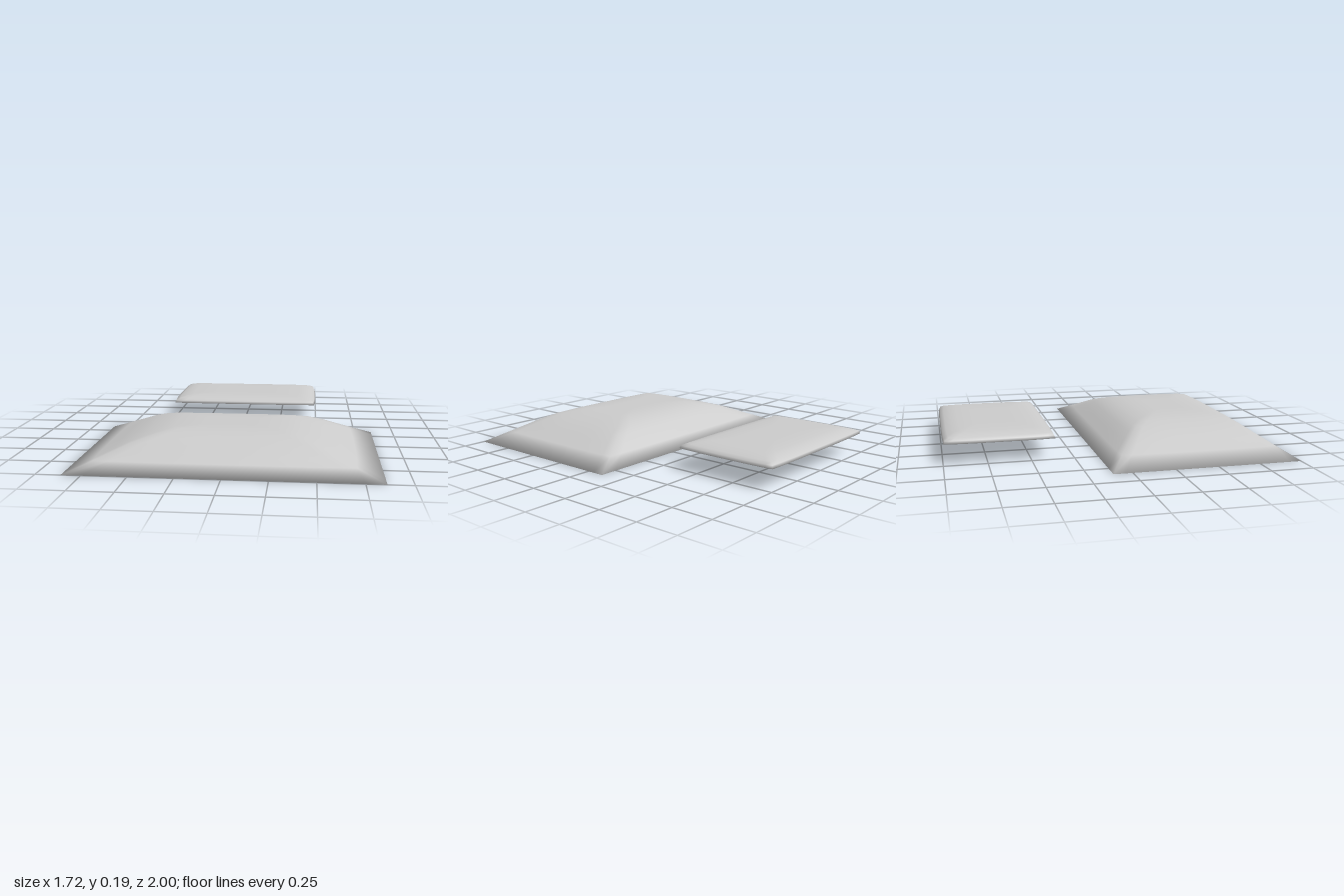
import * as THREE from 'three';

const SIDE = 16; // segments along each side of a loop

// Points around the unit square, running from +x towards +z
function squareLoop() {
  const corners = [[1, -1], [1, 1], [-1, 1], [-1, -1]];
  const pts = [];
  corners.forEach(([x, z], c) => {
    const [nx, nz] = corners[(c + 1) % 4];
    for (let i = 0; i < SIDE; i++) {
      const t = i / SIDE;
      pts.push([x + (nx - x) * t, z + (nz - z) * t]);
    }
  });
  return pts;
}

// Smooth normals that count every face equally, so the hem faces outwards
function softNormals(geo) {
  const pos = geo.attributes.position;
  const index = geo.index.array;
  const sums = Array.from({ length: pos.count }, () => new THREE.Vector3());
  const tri = new THREE.Triangle();
  const normal = new THREE.Vector3();
  for (let f = 0; f < index.length; f += 3) {
    tri.setFromAttributeAndIndices(pos, index[f], index[f + 1], index[f + 2]);
    tri.getNormal(normal);
    for (let c = 0; c < 3; c++) sums[index[f + c]].add(normal);
  }
  const normals = sums.flatMap((v) => v.normalize().toArray());
  geo.setAttribute('normal', new THREE.Float32BufferAttribute(normals, 3));
}

// Closed smooth cushion from rectangular loops [halfX, halfZ, y, cornerPull], underside to top
function cushionGeometry(loops) {
  const square = squareLoop();
  const n = square.length;
  const pos = [];
  const index = [];
  for (const [a, b, y, pull] of loops) {
    for (const [s, t] of square) {
      pos.push(a * s * (1 - pull * t ** 4), y, b * t * (1 - pull * s ** 4));
    }
  }
  for (let k = 0; k < loops.length - 1; k++) {
    for (let i = 0; i < n; i++) {
      const j = (i + 1) % n;
      const p = k * n + i, q = k * n + j;
      index.push(p, p + n, q, q, p + n, q + n);
    }
  }
  // Flat centres of the underside and the top
  const last = loops.length - 1;
  const bottom = pos.length / 3, top = bottom + 1;
  pos.push(0, loops[0][2], 0, 0, loops[last][2], 0);
  for (let i = 0; i < n; i++) {
    const j = (i + 1) % n;
    index.push(bottom, i, j, top, last * n + j, last * n + i);
  }
  const geo = new THREE.BufferGeometry();
  geo.setAttribute('position', new THREE.Float32BufferAttribute(pos, 3));
  geo.setIndex(index);
  softNormals(geo);
  return geo;
}

export function createModel() {
  const model = new THREE.Group();
  const material = new THREE.MeshStandardMaterial({ color: 0xcccccc });
  const add = (name, loops, z) => {
    const mesh = new THREE.Mesh(cushionGeometry(loops), material);
    mesh.name = name;
    mesh.position.z = z;
    model.add(mesh);
  };

  // Large cushion: hollow underside, sharp rectangular hem, sloping sides, flat crown
  add('largeCushion', [
    [0.15, 0.10, 0.152, 0.05],
    [0.30, 0.19, 0.15, 0.05],
    [0.45, 0.30, 0.122, 0.05],
    [0.58, 0.38, 0.084, 0.03],
    [0.70, 0.455, 0.045, 0.015],
    [0.86, 0.555, 0, 0],
    [0.72, 0.475, 0.058, 0.015],
    [0.63, 0.42, 0.097, 0.03],
    [0.55, 0.37, 0.131, 0.04],
    [0.47, 0.325, 0.155, 0.05],
    [0.40, 0.27, 0.171, 0.05],
    [0.32, 0.20, 0.185, 0.05],
    [0.15, 0.10, 0.187, 0.05],
  ], 0.445);

  // Small cushion: thin upright edge, bevelled shoulder, slightly bowed sides
  add('smallCushion', [
    [0.25, 0.16, 0.121, 0],
    [0.42, 0.255, 0.121, 0.02],
    [0.496, 0.324, 0.121, 0.022],
    [0.489, 0.317, 0.138, 0.022],
    [0.465, 0.295, 0.149, 0.025],
    [0.425, 0.26, 0.159, 0.03],
    [0.38, 0.22, 0.165, 0.03],
    [0.20, 0.12, 0.167, 0.03],
  ], -0.676);

  return model;
}
